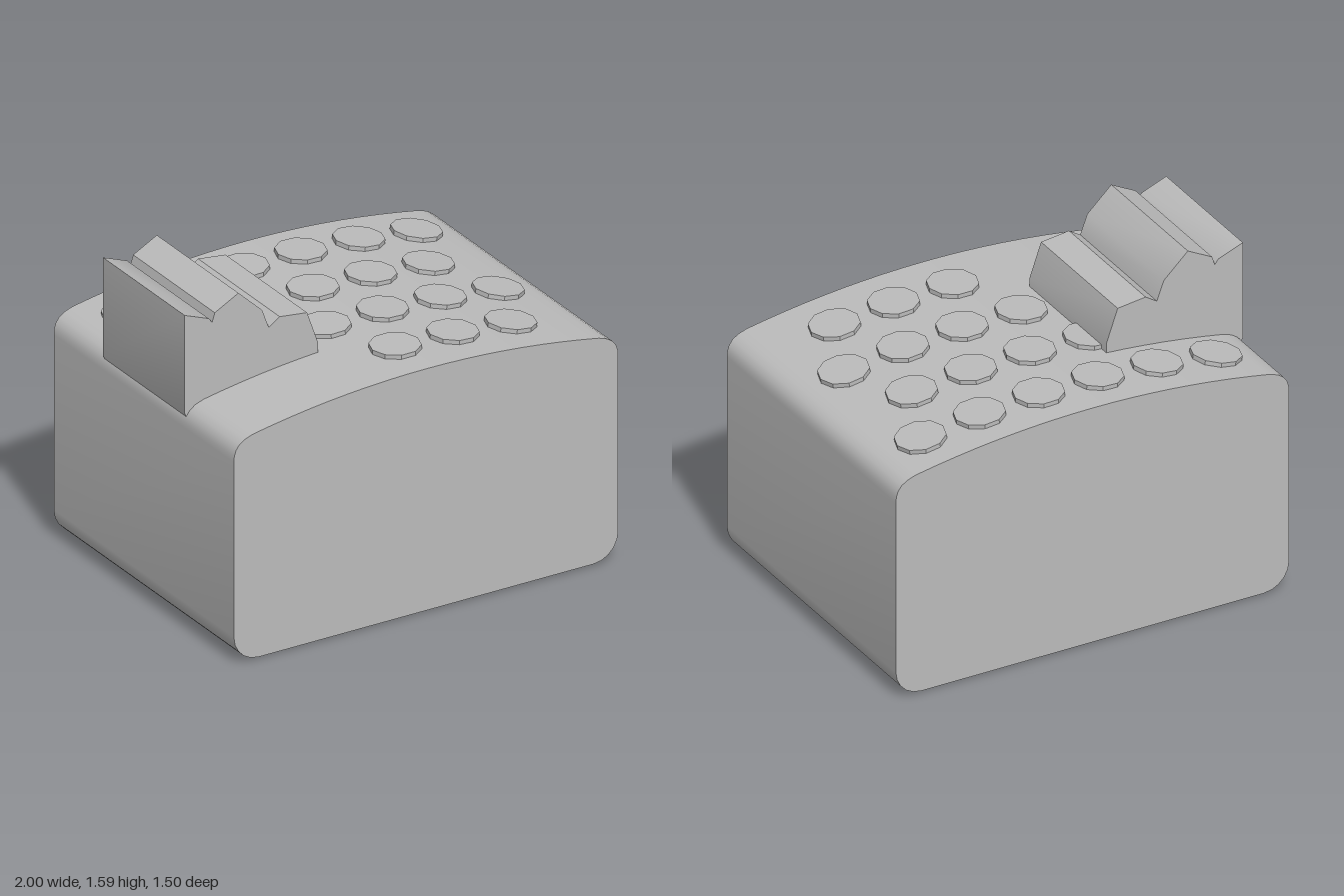
import * as THREE from 'three';
import { toCreasedNormals } from 'three/addons/utils/BufferGeometryUtils.js';

const ARC_R = 4.8; // radius of the domed top
const topY = (x) => 1.2 - ARC_R + Math.sqrt(ARC_R * ARC_R - x * x);

// Extrude a front-facing shape, centred on z
function slab(shape, depth, crease) {
  const geo = new THREE.ExtrudeGeometry(shape, { depth, bevelEnabled: false, curveSegments: 5 });
  geo.translate(0, 0, -depth / 2);
  return toCreasedNormals(geo, crease);
}

export function createModel() {
  const group = new THREE.Group();
  const grey = new THREE.MeshStandardMaterial({ color: 0xbbbbbb });
  grey.name = 'plain grey';

  const add = (name, geo) => {
    const mesh = new THREE.Mesh(geo, grey);
    mesh.name = name;
    group.add(mesh);
    return mesh;
  };

  // Body: rounded block with a gently domed top
  const body = new THREE.Shape();
  body.moveTo(-0.87, 0.01);
  body.lineTo(0.87, 0.01);
  body.bezierCurveTo(0.945, 0.01, 1, 0.07, 1, 0.14);
  body.lineTo(1, 1.0);
  body.bezierCurveTo(1, 1.05, 0.985, 1.095, 0.9, topY(0.9));
  for (let i = 1; i <= 18; i++) {
    const x = 0.9 - i * 0.1;
    body.lineTo(x, topY(x));
  }
  body.bezierCurveTo(-0.985, 1.095, -1, 1.05, -1, 1.0);
  body.lineTo(-1, 0.14);
  body.bezierCurveTo(-1, 0.07, -0.945, 0.01, -0.87, 0.01);
  add('body', slab(body, 1.5, 0.5));

  // Base plate underneath
  const plate = add('basePlate', new THREE.BoxGeometry(0.9, 0.02, 1));
  plate.position.y = 0.01;

  // Stepped ridge standing on the right-hand edge
  const ridge = new THREE.Shape([
    [-0.98, 1.03], [-0.305, 1.1], [-0.305, 1.235], [-0.363, 1.4], [-0.505, 1.417],
    [-0.562, 1.38], [-0.598, 1.475], [-0.72, 1.59], [-0.843, 1.525], [-0.857, 1.482],
    [-0.875, 1.505], [-1, 1.553], [-1, 1.07],
  ].map(([x, y]) => new THREE.Vector2(x, y)));
  add('ridge', slab(ridge, 0.68, 0.6));

  // Rows of ten-sided studs that follow the dome: [z, first x, count]
  const studGeo = toCreasedNormals(
    new THREE.CylinderGeometry(0.118, 0.118, 0.04, 10, 1, false, Math.PI / 2), 0.3);
  const rows = [[-0.525, -0.755, 6], [-0.185, -0.305, 4], [0.155, -0.155, 4], [0.5, -0.005, 3]];
  for (const [z, x0, count] of rows) {
    for (let i = 0; i < count; i++) {
      const x = x0 + i * 0.3;
      const stud = add('stud', studGeo);
      stud.position.set(x, topY(x), z);
      stud.rotation.z = -Math.asin(x / ARC_R);
    }
  }

  return group;
}
